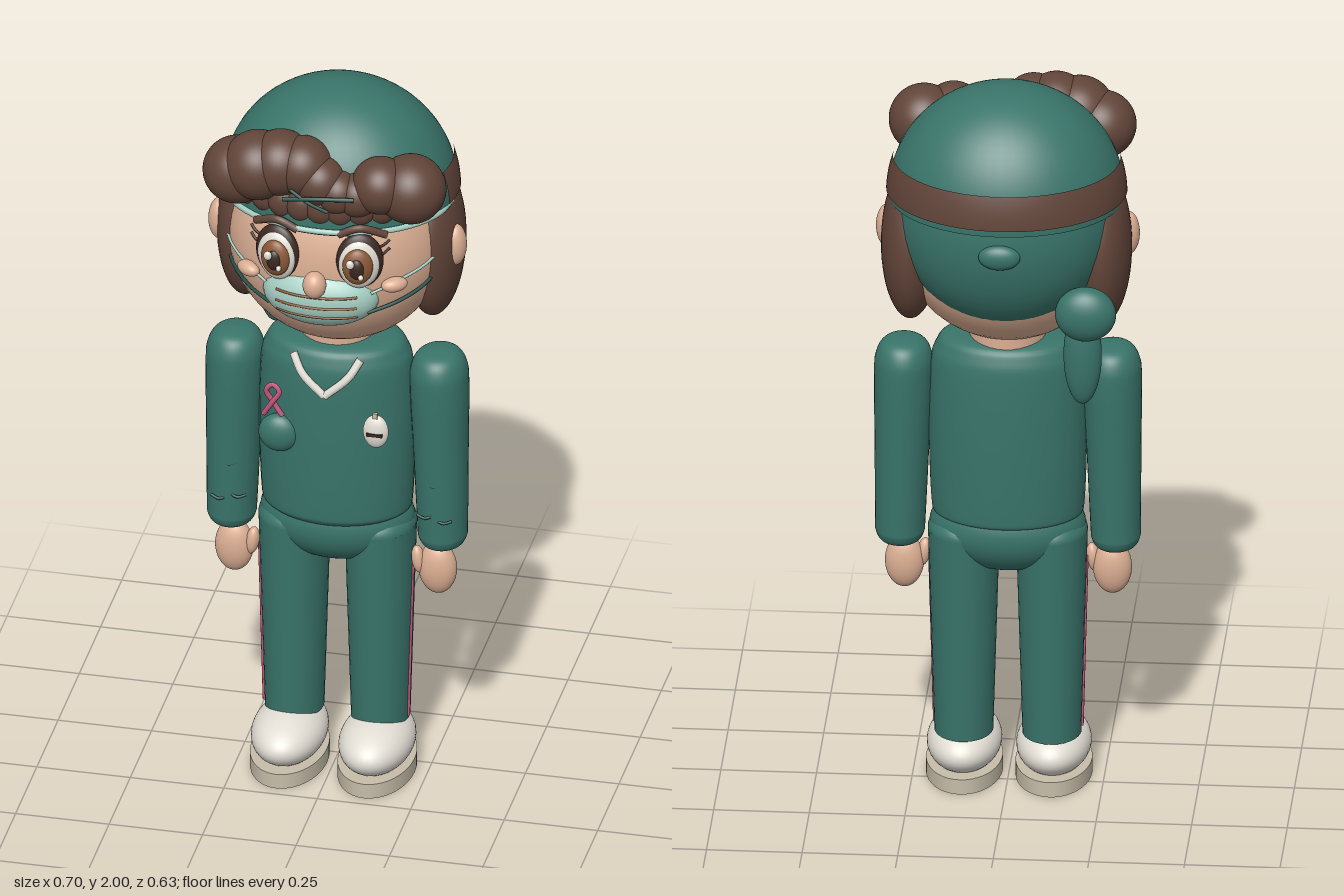
import * as THREE from 'three';

const mat = (name, color, side = THREE.FrontSide) => {
  const m = new THREE.MeshStandardMaterial({ color, side });
  m.name = name;
  return m;
};
const V = (p) => new THREE.Vector3(...p);

export function createModel() {
  const scrubs = mat('scrub green', 0x39746a, THREE.DoubleSide);
  const hair = mat('hair brown', 0x624539);
  const skin = mat('skin', 0xdbae93);
  const mint = mat('mask mint', 0xa5cdc1);
  const white = mat('off white', 0xe2ded5);
  const beige = mat('sole beige', 0xc6bda9);
  const pink = mat('ribbon pink', 0xc2557a);
  const dark = mat('dark brown', 0x3a2821);
  const iris = mat('iris brown', 0x8a5836);
  const crease = mat('crease green', 0x234d46);

  const root = new THREE.Group();
  root.name = 'nurseFigure';
  const add = (name, geo, m, pos = [0, 0, 0], scale = [1, 1, 1], rot = [0, 0, 0]) => {
    const mesh = new THREE.Mesh(geo, m);
    mesh.name = name;
    mesh.position.set(...pos);
    mesh.scale.set(...scale);
    mesh.rotation.set(...rot);
    root.add(mesh);
    return mesh;
  };
  const sphere = new THREE.SphereGeometry(1, 40, 28);
  const ball = (name, m, pos, radii, rot) => add(name, sphere, m, pos, radii, rot);
  const tube = (name, m, pts, r, closed = false) =>
    add(name, new THREE.TubeGeometry(new THREE.CatmullRomCurve3(pts.map(V), closed), 32, r, 8, closed), m);
  const lathe = (name, m, pts, pos, scale, rot) =>
    add(name, new THREE.LatheGeometry(
      new THREE.SplineCurve(pts.map((p) => new THREE.Vector2(...p))).getPoints(48)
        .map((p) => p.setX(Math.max(0, p.x))), 40), m, pos, scale, rot);

  // Head, neck and ears
  ball('head', skin, [0, 1.57, 0.005], [0.29, 0.29, 0.25]);
  add('neck', new THREE.CylinderGeometry(0.1, 0.1, 0.1, 32), skin, [0, 1.27, 0]);

  // Surgical cap, back of the cap, and knot with its hanging tail
  const capPos = [0, 1.7, -0.03];
  add('cap', new THREE.SphereGeometry(1, 48, 24, 0, Math.PI * 2, 0, Math.PI * 0.51), scrubs, capPos, [0.308, 0.3, 0.268]);
  ball('capBack', scrubs, [0, 1.65, -0.07], [0.285, 0.3, 0.225]);
  ball('capButton', scrubs, [0, 1.63, -0.292], [0.055, 0.035, 0.025]);
  ball('capKnot', scrubs, [-0.22, 1.44, -0.215], [0.08, 0.075, 0.05]);
  ball('capTail', scrubs, [-0.21, 1.31, -0.185], [0.05, 0.14, 0.037]);

  // Hair strip showing around the back of the cap
  add('hairBand', new THREE.SphereGeometry(1, 48, 6, Math.PI - 0.25, Math.PI + 0.5, 1.23, 0.31),
    hair, capPos, [0.315, 0.306, 0.275]);

  // Cap rim over the forehead
  const rim = [];
  for (let i = 0; i <= 12; i++) {
    const a = (i / 12) * Math.PI;
    rim.push([Math.cos(a) * 0.3, 1.695 + Math.sin(a) * 0.01, -0.01 + Math.sin(a) * 0.255]);
  }
  tube('capRim', mint, rim, 0.008);

  // Fringe curls: x, y, z, radius
  [[-0.235, 1.815, 0.16, 0.09], [-0.175, 1.845, 0.175, 0.093], [-0.115, 1.86, 0.175, 0.088],
    [-0.055, 1.86, 0.18, 0.08], [-0.005, 1.83, 0.195, 0.068], [0.045, 1.805, 0.2, 0.06],
    [0.095, 1.8, 0.195, 0.06], [0.155, 1.83, 0.185, 0.077], [0.23, 1.815, 0.16, 0.093],
  ].forEach(([x, y, z, r]) => ball('fringeCurl', hair, [x, y, z], [r, r, r]));
  for (let i = -4; i <= 4; i++) {
    const x = i * 0.05;
    ball('fringeStrand', hair, [x, 1.76, 0.21 - x * x * 1.6], [0.045, 0.05, 0.038]);
  }
  tube('capTie', crease, [[-0.09, 1.8, 0.262], [0, 1.815, 0.27], [0.1, 1.82, 0.262]], 0.006);
  tube('capTie', crease, [[-0.07, 1.83, 0.262], [-0.02, 1.8, 0.268], [0.03, 1.775, 0.262]], 0.005);

  // Nose and face mask with pleats
  ball('nose', skin, [0, 1.565, 0.283], [0.031, 0.038, 0.032]);
  ball('mask', mint, [0, 1.5, 0.2], [0.155, 0.09, 0.085]);
  for (const y of [1.525, 1.495, 1.465]) {
    const pts = [];
    for (let i = -4; i <= 4; i++) {
      const x = i * 0.027;
      const k = 1 - (x / 0.155) ** 2 - ((y - 1.5) / 0.09) ** 2;
      pts.push([x, y, 0.2 + 0.085 * Math.sqrt(k)]);
    }
    tube('maskPleat', iris, pts, 0.0035);
  }

  for (const s of [-1, 1]) {
    // Side hair and ear
    ball('sideHair', hair, [s * 0.25, 1.555, -0.037], [0.078, 0.215, 0.138]);
    ball('ear', skin, [s * 0.315, 1.575, 0.01], [0.03, 0.06, 0.033]);

    // Eye
    const ex = s * 0.11;
    ball('eyeOutline', dark, [ex, 1.625, 0.232], [0.062, 0.08, 0.026], [0, s * 0.25, 0]);
    ball('eyeWhite', white, [ex, 1.62, 0.24], [0.054, 0.072, 0.026], [0, s * 0.25, 0]);
    ball('iris', iris, [ex, 1.62, 0.258], [0.04, 0.052, 0.022], [0, s * 0.2, 0]);
    ball('pupil', dark, [ex, 1.62, 0.274], [0.02, 0.03, 0.013]);
    ball('eyeShine', white, [ex - 0.014, 1.64, 0.288], [0.011, 0.013, 0.008]);
    ball('eyeShine', white, [ex + 0.014, 1.602, 0.284], [0.007, 0.008, 0.008]);
    tube('brow', hair, [[s * 0.055, 1.7, 0.24], [s * 0.11, 1.722, 0.235], [s * 0.175, 1.695, 0.205]], 0.011);
    for (const k of [0, 1]) {
      tube('lash', dark, [[s * 0.16, 1.64 + k * 0.025, 0.222], [s * 0.172, 1.648 + k * 0.025, 0.22],
        [s * 0.185, 1.66 + k * 0.025, 0.21]], 0.004);
    }

    // Cheek and mask straps
    ball('cheek', skin, [s * 0.195, 1.545, 0.2], [0.036, 0.02, 0.022], [0, s * 0.6, 0]);
    tube('maskStrap', crease, [[s * 0.13, 1.47, 0.235], [s * 0.2, 1.485, 0.182],
      [s * 0.255, 1.505, 0.115], [s * 0.292, 1.54, 0.03]], 0.005);
    tube('maskStrap', mint, [[s * 0.14, 1.53, 0.235], [s * 0.2, 1.55, 0.19],
      [s * 0.262, 1.57, 0.115], [s * 0.295, 1.59, 0.03]], 0.004);

    // Sleeve with fold lines
    lathe('sleeve', scrubs, [[0, -0.29], [0.045, -0.288], [0.063, -0.265], [0.066, -0.22], [0.072, 0],
      [0.077, 0.18], [0.073, 0.245], [0.05, 0.282], [0, 0.292]], [s * 0.277, 0.965, 0.012], [1, 1, 1.14], [0, 0, s * 0.02]);
    for (const [x, y] of [[0.275, 0.88], [0.25, 0.785], [0.3, 0.775]]) {
      tube('sleeveFold', crease, [[s * (x - 0.022), y + 0.006, 0.082], [s * x, y, 0.088],
        [s * (x + 0.022), y + 0.006, 0.082]], 0.004);
    }

    // Hand
    ball('hand', skin, [s * 0.272, 0.608, 0.028], [0.051, 0.075, 0.036]);
    ball('thumb', skin, [s * 0.222, 0.63, 0.035], [0.018, 0.04, 0.02], [0, 0, s * 0.15]);

    // Trouser leg with side piping
    add('trouserLeg', new THREE.CylinderGeometry(0.094, 0.077, 0.58, 36), scrubs, [s * 0.115, 0.43, 0.008], [1, 1, 1.18]);
    ball('legTop', scrubs, [s * 0.115, 0.72, 0.008], [0.094, 0.06, 0.111]);
    tube('legPiping', pink, [[s * 0.193, 0.15, 0.025], [s * 0.199, 0.38, 0.025], [s * 0.206, 0.64, 0.025]], 0.004);

    // Shoe
    ball('shoe', white, [s * 0.117, 0.09, 0.057], [0.098, 0.073, 0.158]);
    add('sole', new THREE.CylinderGeometry(0.1, 0.1, 0.042, 40), beige, [s * 0.117, 0.021, 0.057], [1, 1, 1.64]);
  }

  // Tunic and hips
  lathe('tunic', scrubs, [[0, 0.755], [0.15, 0.756], [0.19, 0.768], [0.201, 0.81], [0.207, 1.0],
    [0.203, 1.18], [0.19, 1.245], [0.15, 1.28], [0, 1.287]], [0, 0, 0.012], [1, 1, 0.7]);
  ball('hips', scrubs, [0, 0.735, 0.008], [0.205, 0.125, 0.135]);

  // V-neck trim
  for (const s of [-1, 1]) {
    tube('neckTrim', white, [[s * 0.09, 1.268, 0.135], [s * 0.06, 1.22, 0.158], [0, 1.165, 0.168]], 0.011);
  }

  // Awareness ribbon
  tube('ribbon', pink, [[-0.155, 1.112, 0.2], [-0.132, 1.15, 0.205], [-0.112, 1.185, 0.204], [-0.13, 1.202, 0.2],
    [-0.148, 1.185, 0.2], [-0.13, 1.15, 0.198], [-0.105, 1.112, 0.2]], 0.007);

  // Round chest patch and name badge
  ball('chestPatch', scrubs, [-0.13, 1.02, 0.13], [0.054, 0.054, 0.032]);
  ball('badge', white, [0.135, 1.07, 0.155], [0.034, 0.048, 0.02]);
  add('badgeLine', new THREE.BoxGeometry(0.042, 0.009, 0.008), dark, [0.135, 1.068, 0.173]);
  add('badgeClip', new THREE.BoxGeometry(0.012, 0.024, 0.009), beige, [0.135, 1.115, 0.16]);

  return root;
}
